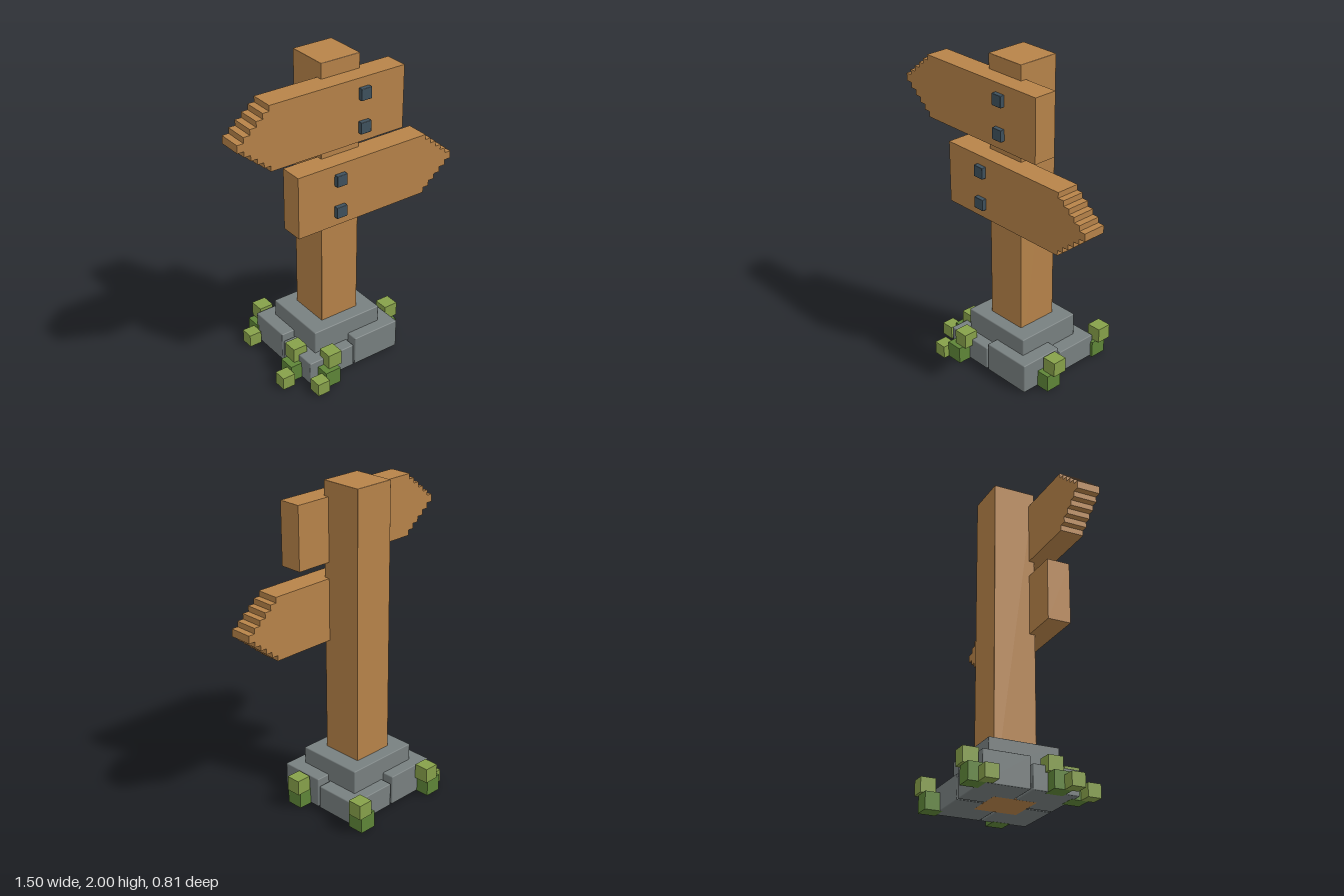
import * as THREE from 'three';
import { RoundedBoxGeometry } from 'three/addons/geometries/RoundedBoxGeometry.js';

const makeMaterial = (name, color) => {
  const m = new THREE.MeshStandardMaterial({ color });
  m.name = name;
  return m;
};

export function createModel() {
  const wood = makeMaterial('wood', 0xb78349);
  const stone = makeMaterial('stone', 0x788080);
  const iron = makeMaterial('iron', 0x3f515d);
  const leafLight = makeMaterial('lightLeaf', 0x87a14a);
  const leafDark = makeMaterial('darkLeaf', 0x5f8638);

  const model = new THREE.Group();
  model.name = 'signpost';

  const add = (parent, name, geometry, material) => {
    const mesh = new THREE.Mesh(geometry, material);
    mesh.name = name;
    parent.add(mesh);
    return mesh;
  };

  // Box given by its limits, with an optional narrow chamfer
  const block = (parent, name, material, [x0, x1], [y0, y1], [z0, z1], bevel = 0) => {
    const size = [x1 - x0, y1 - y0, z1 - z0];
    const geometry = bevel
      ? new RoundedBoxGeometry(...size, 1, bevel)
      : new THREE.BoxGeometry(...size);
    const mesh = add(parent, name, geometry, material);
    mesh.position.set((x0 + x1) / 2, (y0 + y1) / 2, (z0 + z1) / 2);
    return mesh;
  };

  // Post
  block(model, 'post', wood, [-0.133, 0.133], [0, 2], [-0.149, 0.119], 0.004);

  // Arrow board: straight tail, tip narrowing in five steps; dir is the side it points to
  const board = (name, dir, tail, y, boltX) => {
    const group = new THREE.Group();
    group.name = name;
    const shoulder = 0.543, stepLength = 0.041, stepHeight = 0.0342, half = 0.195;
    const upper = [[tail, half], [shoulder, half]];
    for (let i = 1; i <= 5; i++) {
      const h = half - i * stepHeight;
      upper.push([shoulder + (i - 1) * stepLength, h], [shoulder + i * stepLength, h]);
    }
    const lower = upper.map(([x, h]) => [x, -h]).reverse();
    const outline = [...upper, ...lower].map(([x, h]) => new THREE.Vector2(x * dir, h));
    const plank = add(group, 'plank', new THREE.ExtrudeGeometry(
      new THREE.Shape(outline), { depth: 0.146, bevelEnabled: false }), wood);
    plank.position.set(0, y, 0.082);
    // Square bolt heads
    for (const dy of [-0.102, 0.102]) {
      block(group, 'bolt', iron, [boltX - 0.036, boltX + 0.036],
        [y + dy - 0.036, y + dy + 0.036], [0.22, 0.256], 0.004);
    }
    model.add(group);
  };
  board('upperBoard', -1, -0.363, 1.712, 0.079);
  board('lowerBoard', 1, -0.368, 1.222, -0.083);

  // Stone base: four blocks of alternating height under a plinth
  const base = new THREE.Group();
  base.name = 'stoneBase';
  model.add(base);
  for (const [x, left] of [[[-0.334, -0.007], 0], [[0.005, 0.332], 1]]) {
    for (const [z, front] of [[[-0.308, -0.021], 0], [[-0.009, 0.278], 1]]) {
      block(base, 'footStone', stone, x, [0.001, left === front ? 0.192 : 0.152], z, 0.006);
    }
  }
  block(base, 'plinth', stone, [-0.245, 0.242], [0.14, 0.3], [-0.232, 0.204], 0.006);

  // Bushes: dark cube, lighter cube on top and sometimes a small one beside it
  const cube = (parent, name, material, size, x, y, z) =>
    block(parent, name, material, [x - size / 2, x + size / 2], [y, y + size], [z - size / 2, z + size / 2]);
  const bushes = [
    [-0.222, 0.308, true], [-0.357, 0.134, true], [-0.288, -0.342, true],
    [0.364, 0.112, false], [0.296, -0.345, false],
  ];
  for (const [x, z, small] of bushes) {
    const bush = new THREE.Group();
    bush.name = 'bush';
    cube(bush, 'darkLeaves', leafDark, 0.107, x, 0, z);
    cube(bush, 'topLeaves', leafLight, 0.094, x + 0.034, 0.109, z - 0.021);
    if (small) cube(bush, 'sideLeaves', leafLight, 0.083, x - 0.095, 0, z + 0.049);
    model.add(bush);
  }

  return model;
}
